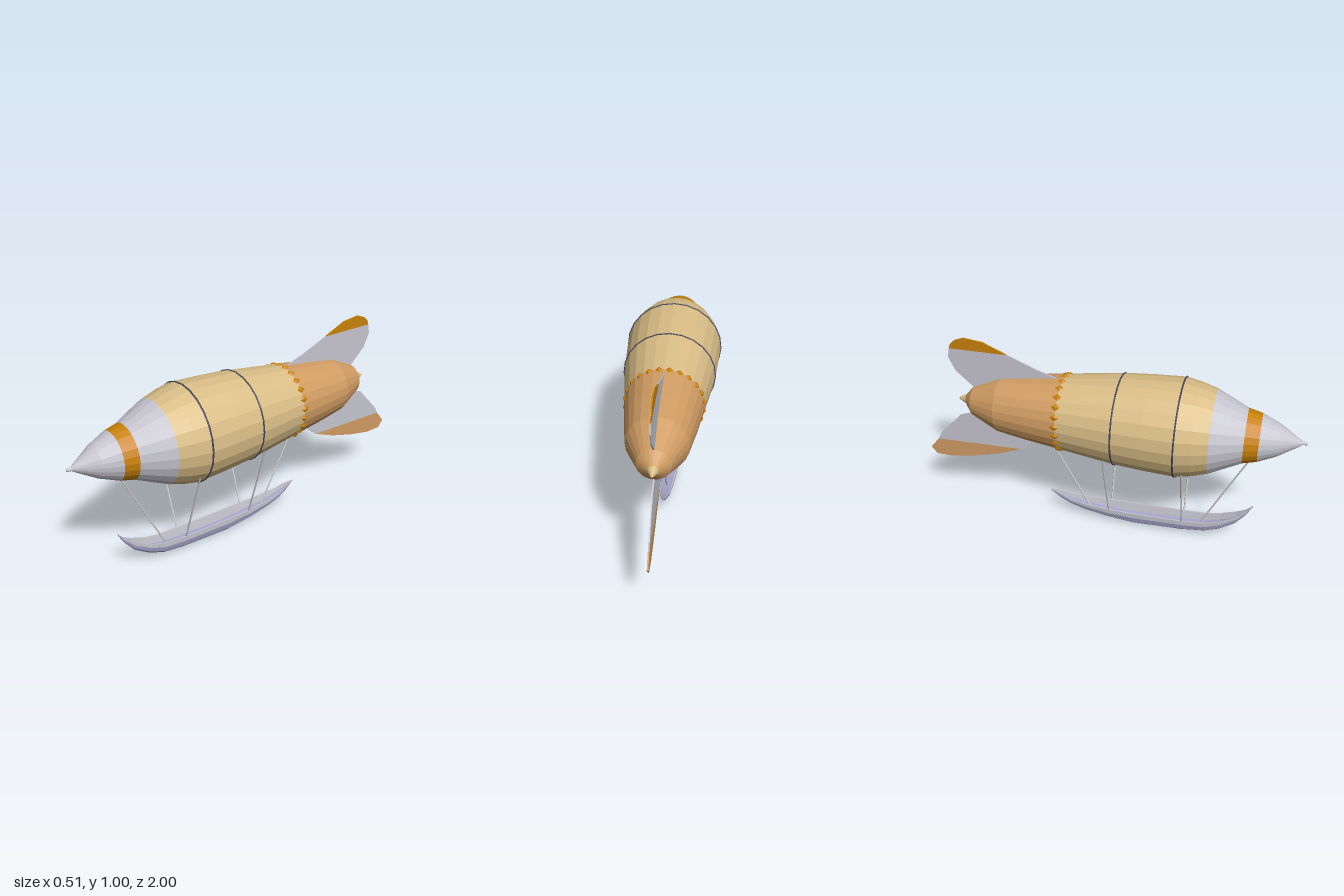
import * as THREE from 'three';

const AXIS_Y = 0.65, SIDES = 24;
const mat = (color) => new THREE.MeshStandardMaterial({ color, flatShading: true });
const silver = mat(0xc6c5cf), cream = mat(0xd9bd86), copper = mat(0xd09c63),
  gold = mat(0xc8820a), steel = mat(0x44475c), lilac = mat(0xa9aad0), grey = mat(0xcccccc);

function add(parent, name, geometry, material) {
  const mesh = new THREE.Mesh(geometry, material);
  mesh.name = name;
  parent.add(mesh);
  return mesh;
}

// Envelope section: list of [z, radius] from tail to nose, turned about the long axis
function hullSection(parent, name, profile, material) {
  const g = new THREE.LatheGeometry(profile.map(([z, r]) => new THREE.Vector2(r, z)), SIDES);
  g.rotateX(Math.PI / 2);
  add(parent, name, g, material).position.y = AXIS_Y;
}

// Thin upright plate on the centre plane, outline given as [z, y]
function plate(parent, name, outline, material) {
  const shape = new THREE.Shape(outline.map(([z, y]) => new THREE.Vector2(z, y)));
  const depth = 0.007;
  const g = new THREE.ExtrudeGeometry(shape, { depth, bevelEnabled: false });
  g.translate(0, 0, -depth / 2);
  g.rotateY(-Math.PI / 2);
  add(parent, name, g, material);
}

// Straight rod between two points
function rod(parent, name, from, to) {
  const path = new THREE.LineCurve3(new THREE.Vector3(...from), new THREE.Vector3(...to));
  add(parent, name, new THREE.TubeGeometry(path, 1, 0.0045, 6), grey);
}

function buildGondola(parent) {
  // Stations from bow to stern: z, rim height, keel height, half width
  const stations = [
    [0.78, 0.222, 0.214, 0.002], [0.75, 0.185, 0.16, 0.012], [0.70, 0.15, 0.10, 0.026],
    [0.62, 0.112, 0.05, 0.040], [0.54, 0.092, 0.022, 0.047], [0.42, 0.086, 0.009, 0.050],
    [0.15, 0.084, 0.002, 0.050], [0.0, 0.086, 0.018, 0.046], [-0.12, 0.092, 0.04, 0.037],
    [-0.20, 0.103, 0.062, 0.028], [-0.26, 0.122, 0.09, 0.017], [-0.315, 0.134, 0.128, 0.002],
  ];
  // Closed shell section as fractions of width and height: outside, then inside
  const section = [
    [1, 1], [0.98, 0.65], [0.8, 0.25], [0.4, 0], [-0.4, 0], [-0.8, 0.25], [-0.98, 0.65], [-1, 1],
    [-0.86, 1], [-0.7, 0.4], [0.7, 0.4], [0.86, 1],
  ];
  const n = section.length;
  const point = (i, j) => {
    const [z, top, keel, w] = stations[i];
    const [u, v] = section[j % n];
    return [u * w, keel + v * (top - keel), z];
  };
  const strips = (list) => {
    const p = [];
    for (const j of list) for (let i = 0; i < stations.length - 1; i++) {
      const a = point(i, j), b = point(i, j + 1), c = point(i + 1, j + 1), d = point(i + 1, j);
      p.push(...a, ...b, ...c, ...a, ...c, ...d);
    }
    const g = new THREE.BufferGeometry();
    g.setAttribute('position', new THREE.Float32BufferAttribute(p, 3));
    g.computeVertexNormals();
    return g;
  };
  add(parent, 'gondolaGunwale', strips([0, 6, 7, 8, 10, 11]), silver);
  add(parent, 'gondolaBottom', strips([1, 2, 3, 4, 5, 9]), lilac);
}

export function createModel() {
  const model = new THREE.Group();
  model.name = 'airship';

  // Envelope
  const envelope = new THREE.Group();
  envelope.name = 'envelope';
  model.add(envelope);
  hullSection(envelope, 'tailTip', [[-0.8, 0], [-0.795, 0.006], [-0.755, 0.026]], cream);
  hullSection(envelope, 'tailSection',
    [[-0.755, 0.026], [-0.74, 0.045], [-0.71, 0.08], [-0.56, 0.148], [-0.4, 0.173], [-0.22, 0.196]], copper);
  hullSection(envelope, 'middleSection',
    [[-0.22, 0.196], [0.07, 0.234], [0.22, 0.245], [0.38, 0.252], [0.46, 0.237], [0.54, 0.213]], cream);
  hullSection(envelope, 'noseCollar', [[0.54, 0.213], [0.62, 0.176], [0.7, 0.138]], silver);
  hullSection(envelope, 'noseBand', [[0.7, 0.138], [0.77, 0.121]], gold);
  hullSection(envelope, 'noseCone',
    [[0.77, 0.121], [0.86, 0.082], [0.96, 0.02], [0.975, 0.009], [0.995, 0.008], [1, 0]], silver);

  // Hoops around the envelope
  for (const [z, r] of [[0.38, 0.252], [0.07, 0.234]]) {
    const hoop = add(envelope, 'hoop', new THREE.TorusGeometry(r, 0.0045, 6, SIDES), steel);
    hoop.position.set(0, AXIS_Y, z);
  }

  // Ring of diamond studs at the tail seam
  const stud = new THREE.OctahedronGeometry(1);
  stud.scale(0.01, 0.018, 0.026);
  for (let i = 0; i < 24; i++) {
    const a = ((i + 0.5) / 24) * Math.PI * 2;
    const m = add(envelope, 'diamondStud', stud, gold);
    m.position.set(Math.cos(a) * 0.195, AXIS_Y + Math.sin(a) * 0.195, -0.22);
    m.rotation.z = a;
  }

  // Upper fin with gold tip
  plate(model, 'upperFin', [[-0.24, 0.835], [-0.36, 0.875], [-0.515, 0.94], [-0.823, 0.94],
    [-0.833, 0.89], [-0.8, 0.815], [-0.71, 0.73], [-0.6, 0.75], [-0.4, 0.8]], silver);
  plate(model, 'upperFinTip', [[-0.515, 0.94], [-0.64, 0.995], [-0.74, 1.007], [-0.79, 0.988],
    [-0.815, 0.965], [-0.823, 0.94]], gold);

  // Lower fin with copper tip
  plate(model, 'lowerFin', [[-0.34, 0.485], [-0.47, 0.375], [-0.95, 0.367], [-0.93, 0.405],
    [-0.8, 0.545], [-0.71, 0.575], [-0.6, 0.56]], silver);
  plate(model, 'lowerFinTip', [[-0.47, 0.375], [-0.6, 0.325], [-0.75, 0.285], [-0.88, 0.262],
    [-0.97, 0.265], [-1, 0.305], [-0.95, 0.367]], copper);

  // Gondola and its rods: single ones fore and aft, pairs amidships
  buildGondola(model);
  rod(model, 'foreRod', [0, 0.53, 0.745], [0, 0.06, 0.515]);
  rod(model, 'aftRod', [0, 0.48, -0.315], [0, 0.06, -0.095]);
  for (const s of [1, -1]) {
    rod(model, 'sideRodFront', [s * 0.194, 0.5, 0.42], [s * 0.046, 0.085, 0.42]);
    rod(model, 'sideRodRear', [s * 0.18, 0.51, 0.02], [s * 0.043, 0.085, 0.02]);
  }
  return model;
}
